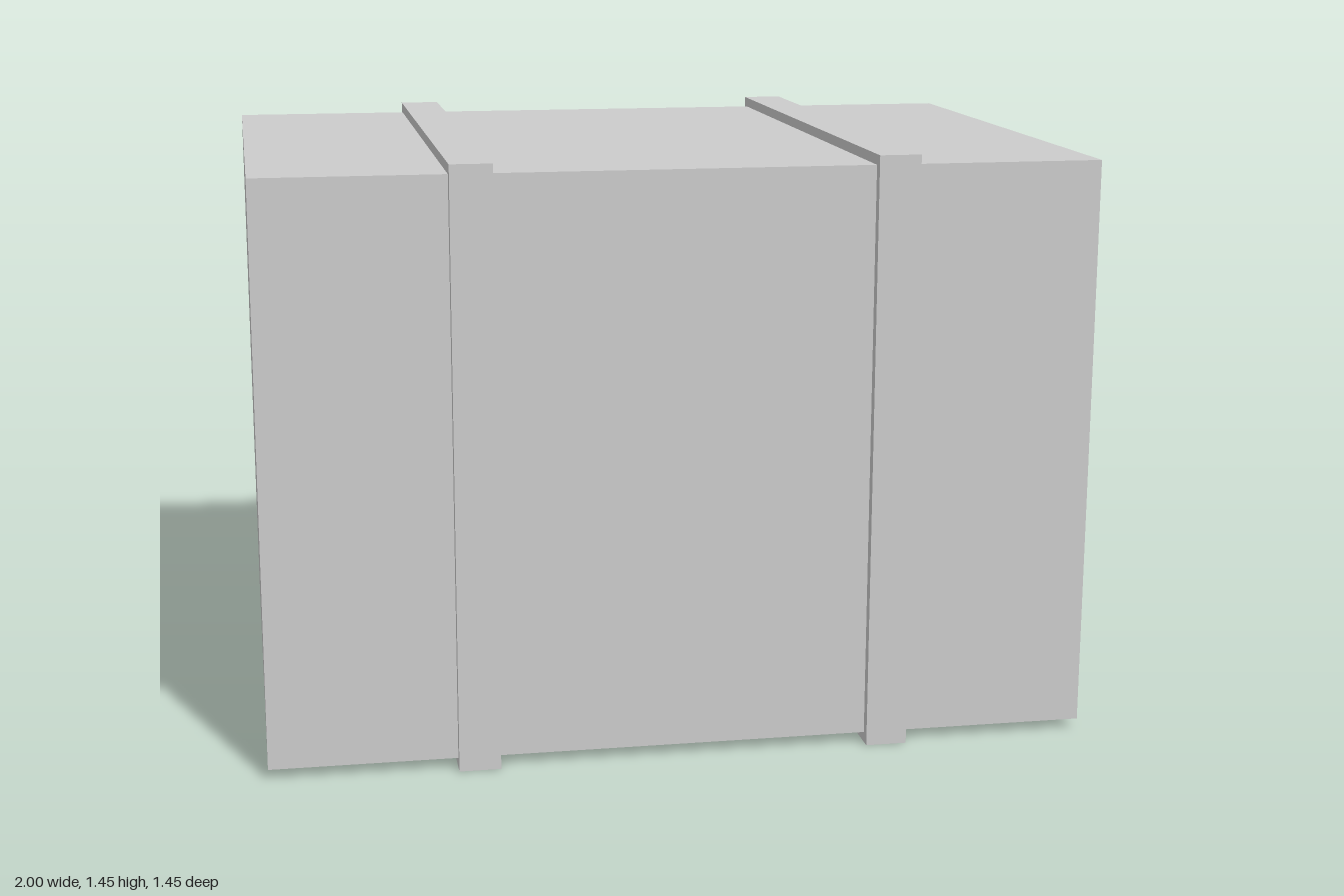
import * as THREE from 'three';

export function createModel() {
  const group = new THREE.Group();
  const material = new THREE.MeshStandardMaterial({ color: 0xcccccc, flatShading: true });
  const strapSize = 1.45, bodySize = 1.4;

  const addBox = (name, width, size, x) => {
    const mesh = new THREE.Mesh(new THREE.BoxGeometry(width, size, size), material);
    mesh.name = name;
    mesh.position.set(x, strapSize / 2, 0);
    group.add(mesh);
  };

  // Crate body, raised slightly by the straps
  addBox('crateBody', 2, bodySize, 0);

  // Two straps wrapped all the way round the body
  addBox('leftStrap', 0.1, strapSize, 0.5);
  addBox('rightStrap', 0.1, strapSize, -0.5);

  return group;
}
